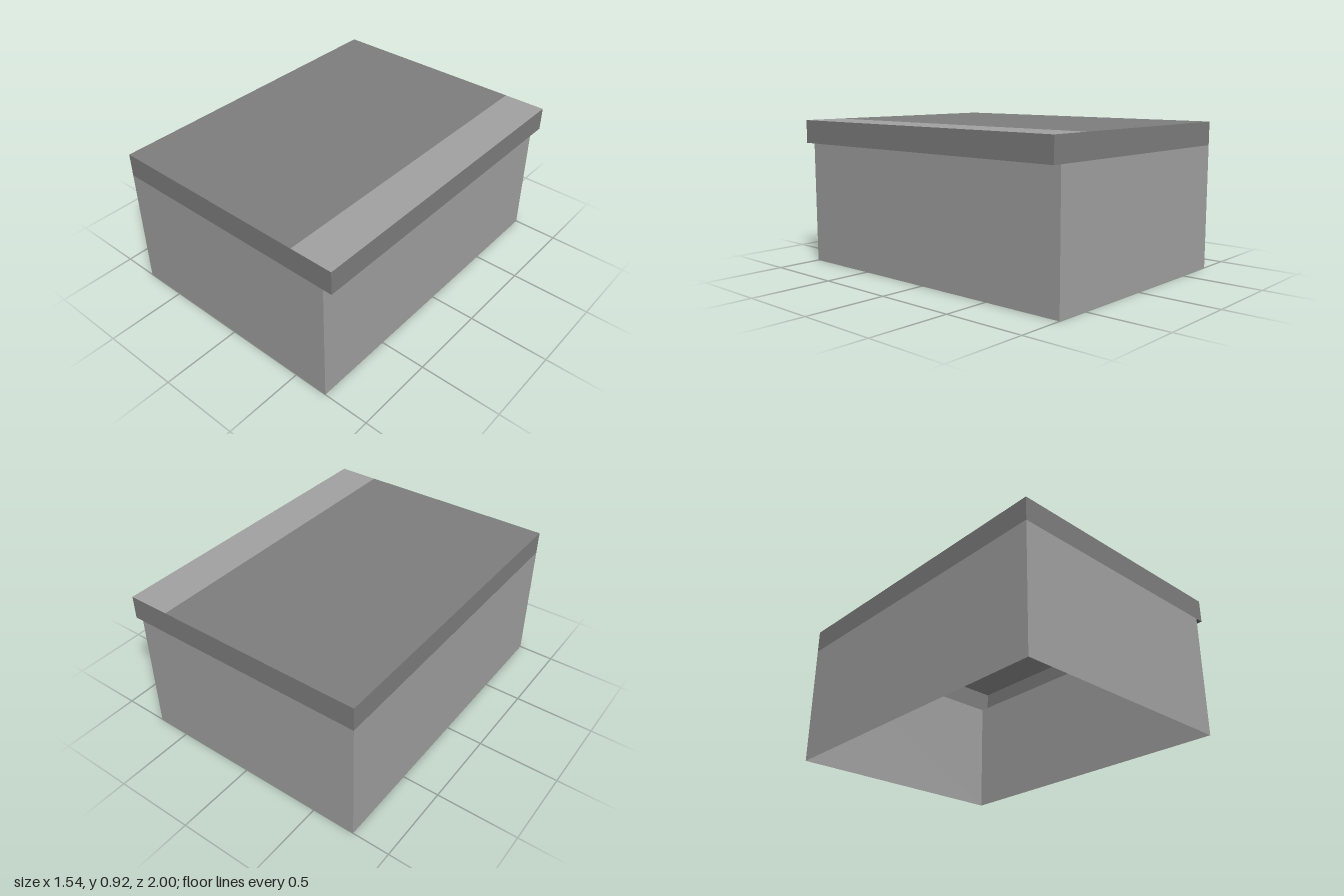
import * as THREE from 'three';

const X0 = -0.77, X_WALL = 0.715, X_LID = 0.77, X_STRIP = 0.505;
const Y_LID = 0.775, Y_TOP = 0.92, Z = 1;

export function createModel() {
  const wallGrey = new THREE.MeshStandardMaterial({ color: 0xa2a2a2, side: THREE.DoubleSide });
  wallGrey.name = 'light grey';
  const roofGrey = new THREE.MeshStandardMaterial({ color: 0x7f7f7f, side: THREE.DoubleSide });
  roofGrey.name = 'dark grey';

  const model = new THREE.Group();
  model.name = 'openBottomShed';

  function panel(name, material, w, h, position, rx = 0, ry = 0) {
    const mesh = new THREE.Mesh(new THREE.PlaneGeometry(w, h), material);
    mesh.name = name;
    mesh.position.set(...position);
    mesh.rotation.set(rx, ry, 0);
    model.add(mesh);
  }

  // Shell of thin panels: lower walls, then the wider roof band above them
  function ring(label, material, x1, y0, y1) {
    const w = x1 - X0, h = y1 - y0, cx = (X0 + x1) / 2, cy = (y0 + y1) / 2;
    panel('front' + label, material, w, h, [cx, cy, Z]);
    panel('back' + label, material, w, h, [cx, cy, -Z], 0, Math.PI);
    panel('left' + label, material, 2 * Z, h, [x1, cy, 0], 0, Math.PI / 2);
    panel('right' + label, material, 2 * Z, h, [X0, cy, 0], 0, -Math.PI / 2);
  }
  ring('Wall', wallGrey, X_WALL, 0, Y_LID);
  ring('RoofBand', roofGrey, X_LID, Y_LID, Y_TOP);

  // Roof top with its light edge strip, and the underside of the overhang
  function deck(name, material, x0, x1, y, up) {
    panel(name, material, x1 - x0, 2 * Z, [(x0 + x1) / 2, y, 0], up * -Math.PI / 2);
  }
  deck('roofTop', roofGrey, X0, X_STRIP, Y_TOP, 1);
  deck('roofEdgeStrip', wallGrey, X_STRIP, X_LID, Y_TOP, 1);
  deck('overhangUnderside', roofGrey, X_WALL, X_LID, Y_LID, -1);

  return model;
}
